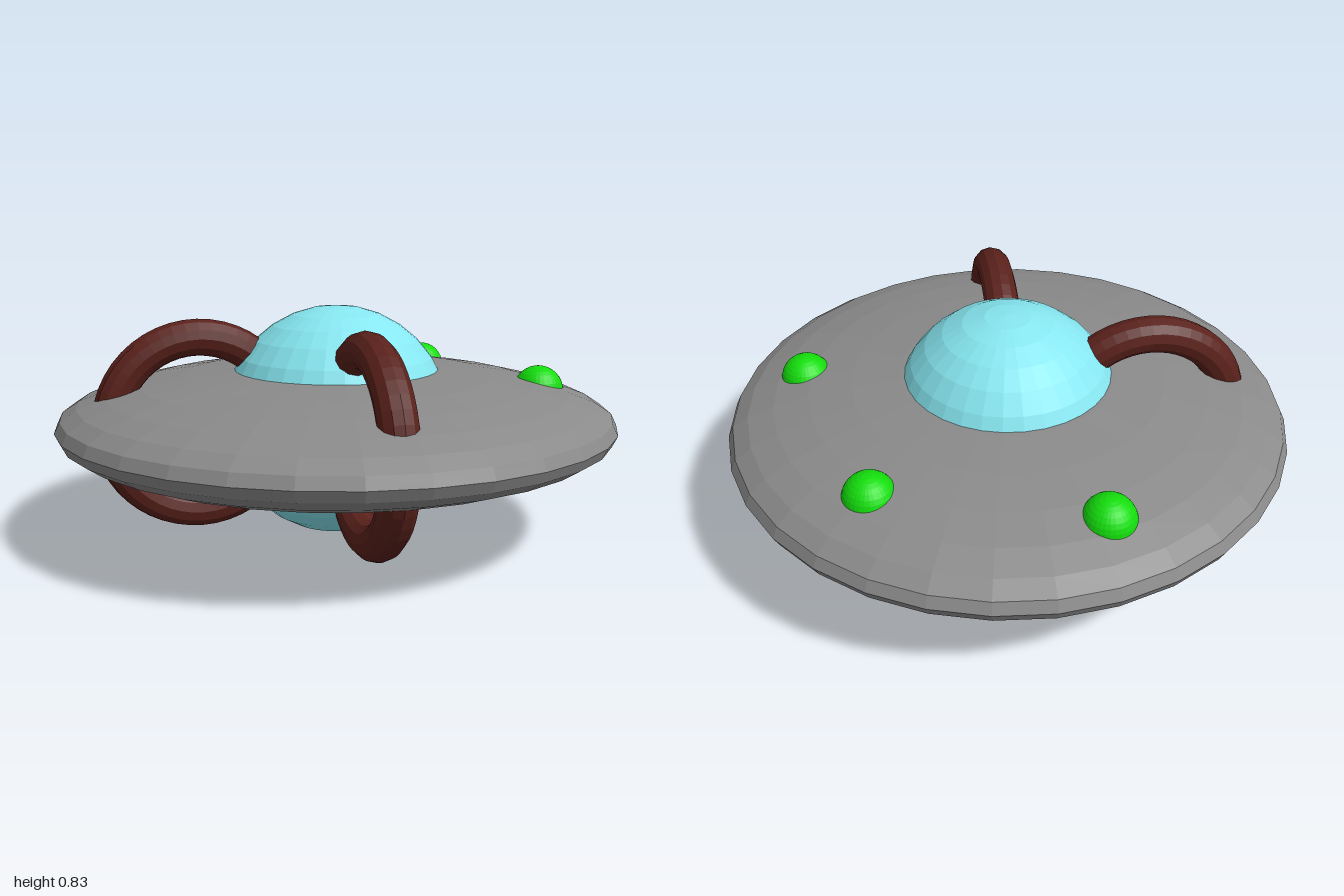
import * as THREE from 'three';

const MID = 0.415; // height of the rim

const flat = (color) => new THREE.MeshStandardMaterial({ color, flatShading: true });

export function createModel() {
  const model = new THREE.Group();
  const hullGrey = flat(0x8a8a8a);
  const glassBlue = flat(0x86e6f0);
  const lampGreen = flat(0x14dd0c);
  const handleBrown = flat(0x5a211b);

  function add(name, geometry, material, x, y, z) {
    const mesh = new THREE.Mesh(geometry, material);
    mesh.name = name;
    mesh.position.set(x, y, z);
    model.add(mesh);
    return mesh;
  }

  // Flattened disc hull
  const hull = new THREE.SphereGeometry(1, 32, 16).scale(1, 0.2, 1);
  add('saucerHull', hull, hullGrey, 0, MID, 0);

  // Round cabin, showing as a dome above and below the hull
  add('cabinDome', new THREE.SphereGeometry(0.413, 32, 16), glassBlue, 0, MID, 0);

  // Lamps along the rear of the hull
  const lamp = new THREE.SphereGeometry(0.09, 32, 16);
  const lamps = [['leftLamp', 0.635, -0.375], ['rearLamp', 0, -0.735], ['rightLamp', -0.665, -0.375]];
  for (const [name, x, z] of lamps) add(name, lamp, lampGreen, x, 0.516, z);

  // Upright rings passing through hull and cabin, set on the diagonals
  const ring = new THREE.TorusGeometry(0.31, 0.065, 12, 48);
  add('leftRing', ring, handleBrown, 0.315, MID, 0.35).rotation.y = -Math.PI / 4;
  add('rightRing', ring, handleBrown, -0.378, MID, 0.325).rotation.y = Math.PI / 4;

  return model;
}
